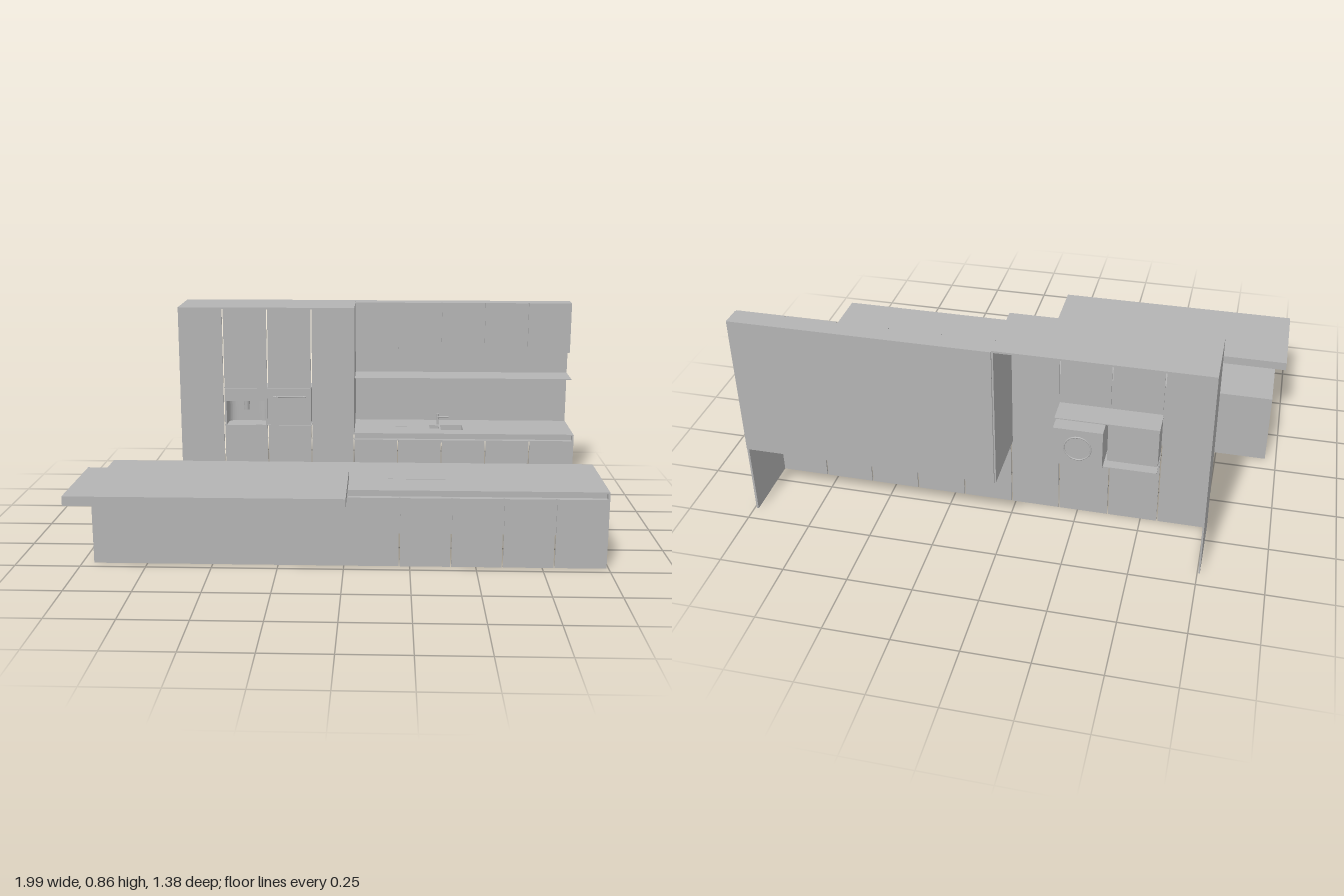
import * as THREE from 'three';

export function createModel() {
  const root = new THREE.Group();
  const grey = new THREE.MeshStandardMaterial({ color: 0xb4b4b4, side: THREE.DoubleSide });
  grey.name = 'matt grey';
  const T = 0.006;   // sheet thickness
  const GAP = 0.005; // gap between doors

  const group = (name) => {
    const g = new THREE.Group();
    g.name = name;
    root.add(g);
    return g;
  };
  const add = (parent, name, geo) => {
    const m = new THREE.Mesh(geo, grey);
    m.name = name;
    parent.add(m);
    return m;
  };
  // Box given by its limits on each axis
  const box = (parent, name, x0, x1, y0, y1, z0, z1) =>
    add(parent, name, new THREE.BoxGeometry(x1 - x0, y1 - y0, z1 - z0)
      .translate((x0 + x1) / 2, (y0 + y1) / 2, (z0 + z1) / 2));
  const shapeOf = (pts) => new THREE.Shape(pts.map(([a, b]) => new THREE.Vector2(a, b)));
  const rect = (x0, x1, z0, z1) => [[x0, -z0], [x1, -z0], [x1, -z1], [x0, -z1]];
  // Plan shape (x, -z) raised from y0 to y1
  const planPrism = (parent, name, shape, y0, y1) =>
    add(parent, name, new THREE.ExtrudeGeometry(shape, { depth: y1 - y0, bevelEnabled: false, curveSegments: 8 })
      .rotateX(-Math.PI / 2).translate(0, y0, 0));
  // Row of doors between consecutive x positions
  const doors = (parent, name, xs, y0, y1, z0, z1) => {
    for (let i = 0; i + 1 < xs.length; i++)
      box(parent, name, xs[i] + GAP / 2, xs[i + 1] - GAP / 2, y0, y1, z0, z1);
  };
  // Recessed grip channel under a worktop; dir is the way the front faces
  const channel = (parent, x0, x1, z, dir) => {
    const zi = z - dir * 0.025;
    box(parent, 'gripLedge', x0, x1, 0.266, 0.27, Math.min(z - dir * T, zi), Math.max(z - dir * T, zi));
    box(parent, 'gripBack', x0, x1, 0.266, 0.296, zi - 0.002, zi + 0.002);
  };

  const baseX = [0.015, 0.21, 0.405, 0.6, 0.795, 0.99];
  const tallX = [-0.76, -0.565, -0.37, -0.175, 0.015];

  // Island: shell open underneath, with grip channels on both long sides
  const island = group('island');
  box(island, 'islandTop', -0.955, 0.99, 0.294, 0.3, 0.07, 0.46);
  box(island, 'islandEnd', -0.955, -0.955 + T, 0, 0.294, 0.07, 0.46);
  box(island, 'islandEnd', 0.99 - T, 0.992, 0, 0.2985, 0.07, 0.46);
  box(island, 'islandFront', -0.949, 0.015, 0, 0.294, 0.46 - T, 0.46);
  box(island, 'islandFront', 0.015, 0.21 - GAP / 2, 0, 0.27, 0.46 - T, 0.46);
  doors(island, 'islandDoor', baseX.slice(1), 0, 0.27, 0.46 - T, 0.46);
  box(island, 'islandBack', -0.949, 0.015, 0, 0.294, 0.07, 0.07 + T);
  box(island, 'islandBack', 0.015, 0.21 - GAP / 2, 0, 0.27, 0.07, 0.07 + T);
  box(island, 'islandBack', 0.21 + GAP / 2, 0.984, 0, 0.27, 0.07, 0.07 + T);
  channel(island, 0.015, 0.984, 0.46, 1);
  channel(island, 0.015, 0.984, 0.07, -1);
  box(island, 'barTop', -1, 0.015, 0.3, 0.335, 0.305, 0.69);
  box(island, 'hob', 0.165, 0.435, 0.3, 0.3015, 0.15, 0.31);

  // Sink run: shell open at the back and underneath
  const run = group('sinkRun');
  const bowls = [[0.355, 0.398, -0.58, -0.515, 0.03], [0.405, 0.505, -0.585, -0.49, 0.055]];
  const top = shapeOf(rect(0.015, 0.99, -0.69, -0.42));
  for (const [x0, x1, z0, z1] of bowls)
    top.holes.push(new THREE.Path(rect(x0, x1, z0, z1).map(([a, b]) => new THREE.Vector2(a, b))));
  planPrism(run, 'worktop', top, 0.294, 0.3);
  for (const [x0, x1, z0, z1, d] of bowls) {
    const w = 0.002, y0 = 0.297 - d;
    box(run, 'sinkFloor', x0, x1, y0, y0 + w, z0, z1);
    box(run, 'sinkWall', x0 - w, x0, y0, 0.297, z0, z1);
    box(run, 'sinkWall', x1, x1 + w, y0, 0.297, z0, z1);
    box(run, 'sinkWall', x0, x1, y0, 0.297, z0 - w, z0);
    box(run, 'sinkWall', x0, x1, y0, 0.297, z1, z1 + w);
  }
  add(run, 'sinkDrain', new THREE.CylinderGeometry(0.01, 0.01, 0.003, 20).translate(0.455, 0.245, -0.54));
  box(run, 'drainer', 0.2, 0.345, 0.3, 0.3015, -0.605, -0.55);
  doors(run, 'baseDoor', baseX, 0, 0.27, -0.42 - T, -0.42);
  channel(run, 0.015, 0.984, -0.42, 1);
  box(run, 'runEnd', 0.99 - T, 0.992, 0, 0.2985, -0.69, -0.42);

  // Tap
  const tap = group('tap');
  add(tap, 'tapStem', new THREE.CylinderGeometry(0.005, 0.005, 0.05, 16).translate(0.395, 0.325, -0.6));
  add(tap, 'tapSpout', new THREE.CylinderGeometry(0.0035, 0.0035, 0.05, 12)
    .rotateZ(Math.PI / 2).translate(0.42, 0.336, -0.6));
  add(tap, 'tapLever', new THREE.CylinderGeometry(0.003, 0.003, 0.028, 12)
    .rotateX(Math.PI / 2).translate(0.395, 0.337, -0.588));

  // Back panel, wedge shelf and wall cabinets
  const wall = group('wallUnits');
  box(wall, 'backPanel', 0.015, 0.99, 0.294, 0.86, -0.695, -0.688);
  const wedge = shapeOf([[-0.688, 0.508], [-0.545, 0.523], [-0.545, 0.527], [-0.688, 0.529]]);
  add(wall, 'shelf', new THREE.ExtrudeGeometry(wedge, { depth: 0.975, bevelEnabled: false })
    .rotateY(-Math.PI / 2).translate(0.99, 0, 0));
  box(wall, 'wallCabinet', 0.015, 0.99, 0.635, 0.86, -0.688, -0.62);
  doors(wall, 'wallDoor', baseX, 0.635, 0.86, -0.62, -0.613);

  // Tall cabinets: shell open at the back
  const tall = group('tallCabinets');
  box(tall, 'tallTop', -0.76, 0.015, 0.86 - T, 0.8615, -0.688, -0.42);
  box(tall, 'tallEnd', -0.76, -0.76 + T, 0, 0.854, -0.688, -0.42);
  box(tall, 'tallSide', 0.015 - T, 0.015, 0.294, 0.854, -0.688, -0.42);
  const fz = [-0.42 - T, -0.42];
  doors(tall, 'tallDoor', tallX.slice(0, 2), 0, 0.854, ...fz);
  doors(tall, 'tallDoor', tallX.slice(3), 0, 0.854, ...fz);
  doors(tall, 'lowerDoor', tallX.slice(1, 4), 0, 0.333, ...fz);
  doors(tall, 'upperDoor', tallX.slice(1, 4), 0.502, 0.854, ...fz);

  // Housing plates for the built-in appliances
  const appliances = group('appliances');
  box(appliances, 'housingFloor', -0.565, -0.175, 0.329, 0.333, -0.56, -0.427);
  box(appliances, 'housingRoof', -0.565, -0.175, 0.5, 0.504, -0.53, -0.427);

  // Drinks machine niche with rounded rear corners
  const r = 0.04, zf = 0.42, zb = 0.515;
  const niche = shapeOf([[-0.563, zf], [-0.563, zb + 0.005], [-0.374, zb + 0.005], [-0.374, zf], [-0.38, zf]]);
  niche.lineTo(-0.38, zb - r);
  niche.quadraticCurveTo(-0.38, zb, -0.38 - r, zb);
  niche.lineTo(-0.555 + r, zb);
  niche.quadraticCurveTo(-0.555, zb, -0.555, zb - r);
  niche.lineTo(-0.555, zf);
  planPrism(appliances, 'nicheWall', niche, 0.333, 0.443);
  box(appliances, 'controlPanel', -0.563, -0.374, 0.443, 0.5, -0.52, -0.42);
  add(appliances, 'drinkSpout', new THREE.CylinderGeometry(0.014, 0.011, 0.045, 20)
    .translate(-0.468, 0.42, -0.455));

  // Oven with bar handle and rear fan cover
  box(appliances, 'ovenBody', -0.365, -0.18, 0.335, 0.495, -0.58, -0.426);
  box(appliances, 'ovenFront', -0.3725, -0.1775, 0.335, 0.499, ...fz);
  add(appliances, 'ovenFan', new THREE.TorusGeometry(0.05, 0.003, 8, 32).translate(-0.272, 0.415, -0.58));
  add(appliances, 'ovenHandle', new THREE.CylinderGeometry(0.003, 0.003, 0.145, 12)
    .rotateZ(Math.PI / 2).translate(-0.272, 0.465, -0.406));
  for (const x of [-0.335, -0.209])
    box(appliances, 'handlePost', x - 0.003, x + 0.003, 0.463, 0.467, -0.42, -0.406);

  return root;
}
